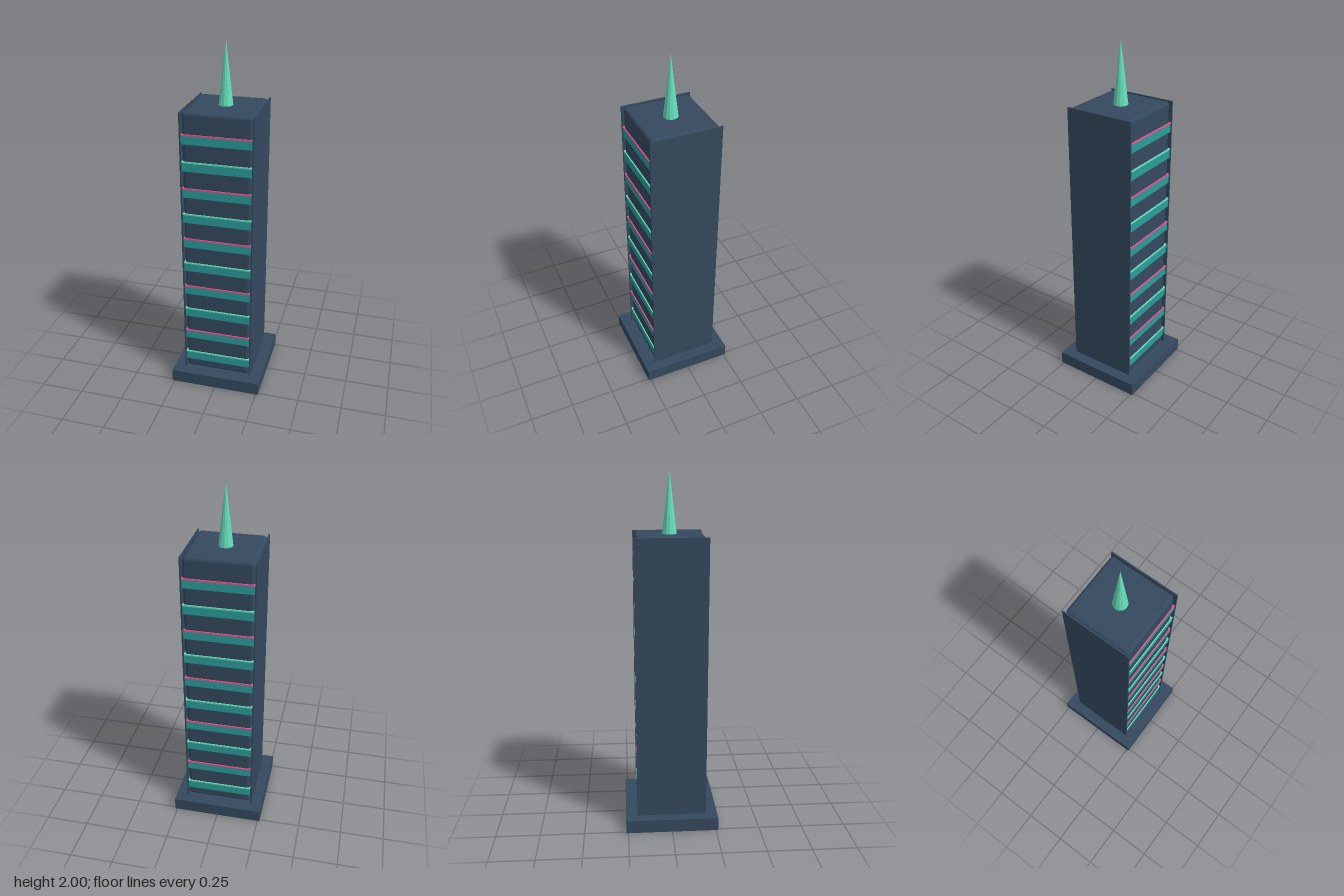
import * as THREE from 'three';
import { RoundedBoxGeometry } from 'three/addons/geometries/RoundedBoxGeometry.js';

const paint = (color, flatShading = false) => new THREE.MeshStandardMaterial({ color, flatShading });

export function createModel() {
  const model = new THREE.Group();
  const slate = paint(0x34495e), teal = paint(0x2a9d9a);
  const pink = paint(0xf0508f), mint = paint(0x66e0bb);

  const add = (name, geometry, material, x, y, z) => {
    const mesh = new THREE.Mesh(geometry, material);
    mesh.name = name;
    mesh.position.set(x, y, z);
    model.add(mesh);
  };

  // Plinth and softly rounded tower core
  add('plinth', new THREE.BoxGeometry(0.526, 0.075, 0.526), slate, 0, 0.0375, 0);
  add('towerCore', new RoundedBoxGeometry(0.378, 1.585, 0.378, 4, 0.02), slate, 0, 0.8675, 0);

  // Thin slabs covering both sides
  for (const side of [-1, 1]) {
    add(side > 0 ? 'leftSidePanel' : 'rightSidePanel',
      new THREE.BoxGeometry(0.008, 1.585, 0.396), slate, side * 0.196, 0.8675, 0);
  }

  // Window bands, each topped by a thin light strip in alternating colours
  const band = new THREE.BoxGeometry(0.382, 0.047, 0.388);
  const strip = new THREE.BoxGeometry(0.384, 0.008, 0.39);
  for (let i = 0; i < 10; i++) {
    const y = 0.155 + i * 0.1507;
    add('windowBand', band, teal, 0, y, 0);
    add('lightStrip', strip, i % 2 ? pink : mint, 0, y + 0.0275, 0);
  }

  // Faceted roof spire
  add('spire', new THREE.ConeGeometry(0.04, 0.34, 12), paint(0x66e0bb, true), 0, 1.83, 0);

  return model;
}
